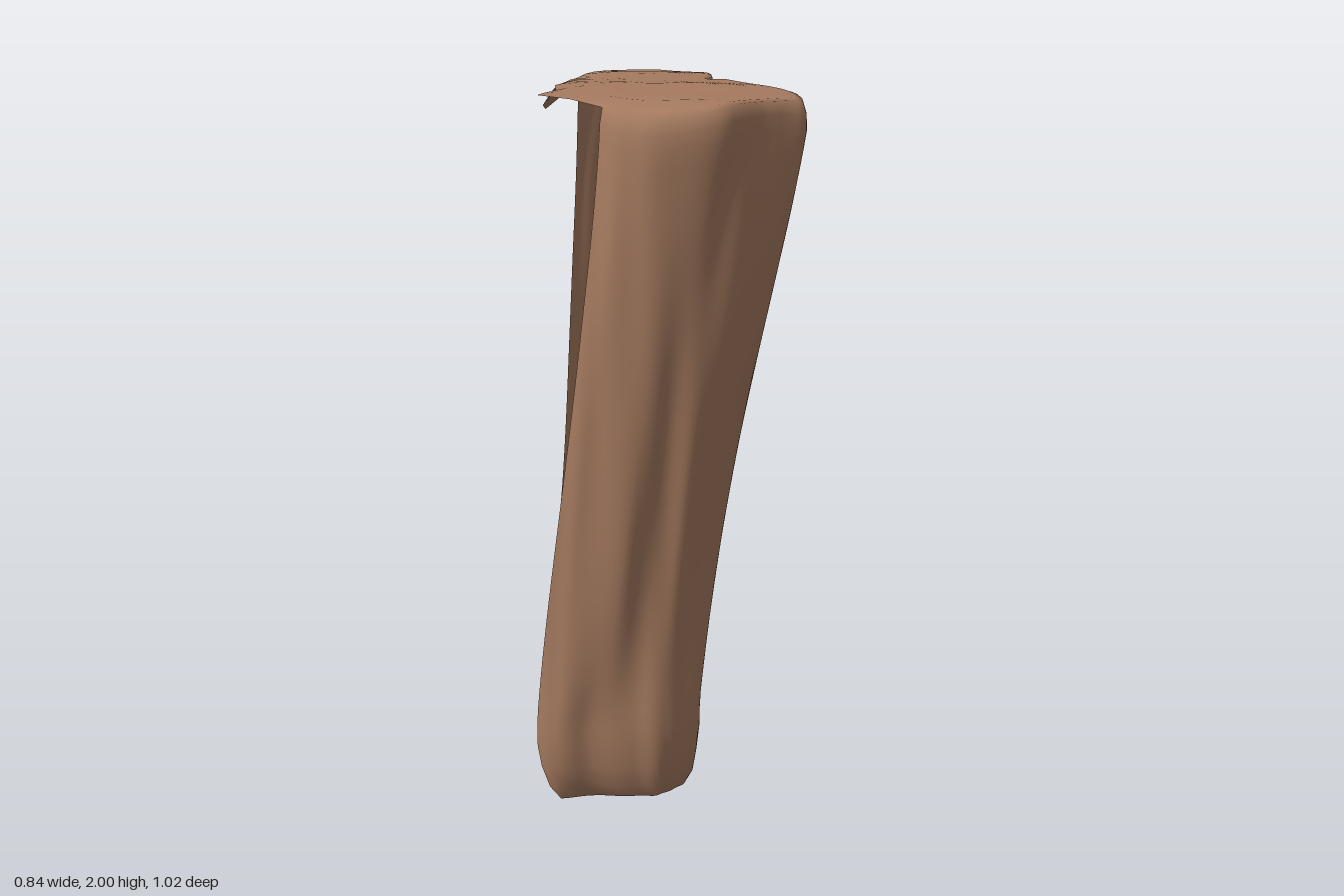
import * as THREE from 'three';
import { mergeGeometries, mergeVertices } from 'three/addons/utils/BufferGeometryUtils.js';

// Wall outline at four heights, as [x, z] from the front free edge,
// round the right lobe, the crevice and the back lobe to the other free edge
const LEVELS = [0.3, 1.0, 1.5, 1.9];
const LOW = [[-0.255, 0.49], [-0.19, 0.51], [-0.1, 0.475], [0.01, 0.45], [0.085, 0.42], [0.125, 0.37],
  [0.155, 0.3], [0.15, 0.22], [0.08, 0.17], [0, 0.12], [-0.055, 0.12], [-0.04, 0.04],
  [-0.045, -0.11], [-0.13, -0.25], [-0.24, -0.375], [-0.32, -0.335], [-0.385, -0.26], [-0.413, -0.2]];
const MID = [[-0.17, 0.495], [-0.1, 0.5], [0.02, 0.488], [0.085, 0.435], [0.16, 0.4], [0.21, 0.32],
  [0.245, 0.23], [0.24, 0.15], [0.16, 0.06], [0.07, 0], [0.02, -0.06], [0, -0.13],
  [-0.01, -0.2], [-0.05, -0.28], [-0.13, -0.38], [-0.21, -0.44], [-0.3, -0.385], [-0.37, -0.29]];
const UPPER = [[-0.11, 0.485], [-0.04, 0.5], [0.06, 0.495], [0.16, 0.445], [0.24, 0.39], [0.3, 0.31],
  [0.35, 0.2], [0.325, 0.11], [0.2, -0.02], [0.09, -0.11], [-0.01, -0.18], [0.02, -0.24],
  [0, -0.33], [-0.07, -0.42], [-0.17, -0.485], [-0.26, -0.435], [-0.32, -0.38], [-0.355, -0.33]];
const HIGH = [[-0.08, 0.46], [0, 0.495], [0.1, 0.5], [0.25, 0.42], [0.31, 0.32], [0.36, 0.23],
  [0.42, 0.16], [0.39, 0.06], [0.27, -0.07], [0.14, -0.2], [0.095, -0.18], [0.09, -0.26],
  [0.05, -0.38], [-0.03, -0.45], [-0.14, -0.51], [-0.24, -0.44], [-0.3, -0.385], [-0.335, -0.32]];
const OUTLINES = [LOW, MID, UPPER, HIGH];

// Ragged free edge of the top, from the back lobe to the front
const RAGGED = [[-0.42, -0.27], [-0.41, -0.2], [-0.35, -0.1], [-0.3, 0], [-0.265, 0.03], [-0.25, 0.1],
  [-0.27, 0.18], [-0.235, 0.3], [-0.28, 0.33], [-0.17, 0.4]];

const COLS = 136;
const { smoothstep, clamp, lerp } = THREE.MathUtils;

// Height of the top: a slight dome, drooping at the torn flange and the front
function topHeight(x, z) {
  const over = Math.max(0, -x - 0.24), front = Math.max(0, z - 0.34);
  return 1.995 - 0.06 * (x + 0.15) ** 2 - 0.06 * (z - 0.25) ** 2
    - 3.4 * over * over - 1.6 * front * front + 0.003 * Math.sin(z * 17 + x * 5);
}

// Smooth outline at height y, blended from the levels
function outlineAt(y) {
  const v = clamp(y, 0.26, 1.91);
  const weights = LEVELS.map((a, i) => LEVELS.reduce((w, b, k) => k === i ? w : w * (v - b) / (a - b), 1));
  return new THREE.CatmullRomCurve3(LOW.map((_, j) => {
    const p = new THREE.Vector3();
    OUTLINES.forEach((o, i) => p.add(new THREE.Vector3(o[j][0], 0, o[j][1]).multiplyScalar(weights[i])));
    return p;
  }));
}

// One row of wall points; the inset runs from the front lobe to the back lobe,
// trim rounds the lower front corner
function wallRow(y, insetFront, insetBack, trim, isTop) {
  const curve = outlineAt(y);
  const row = [];
  for (let j = 0; j <= COLS; j++) {
    const t = trim + (1 - trim) * j / COLS;
    const p = curve.getPoint(t), d = curve.getTangent(t);
    const grain = 0.004 * Math.sin(t * 75 + y * 2.5) * Math.sin(y * 4 + t * 21);
    const off = grain - lerp(insetFront, insetBack, smoothstep(t, 0.45, 0.7));
    p.x -= d.z * off;
    p.z += d.x * off;
    const h = topHeight(p.x, p.z);
    if (isTop) p.y = h - 0.004;
    else if (y < 0.05) p.y = y - 0.02 * smoothstep(-p.x, 0.15, 0.35);
    else p.y = y + smoothstep(y, 1.4, 1.9) * Math.min(0, h - 1.985);
    row.push(p);
  }
  return row;
}

// Skin between rows of equal length
function loft(rows) {
  const n = rows[0].length, index = [];
  for (let i = 0; i < rows.length - 1; i++) {
    for (let j = 0; j < n - 1; j++) {
      const a = i * n + j, b = a + 1, c = a + n, d = c + 1;
      index.push(a, b, d, a, d, c);
    }
  }
  return new THREE.BufferGeometry().setFromPoints(rows.flat()).setIndex(index);
}

export function createModel() {
  const group = new THREE.Group();
  group.name = 'barkTrunk';
  const bark = new THREE.MeshStandardMaterial({ color: 0xa67b60, side: THREE.DoubleSide });
  bark.name = 'brown';

  // Open, leaning wall with rounded rims
  const rows = [wallRow(0.02, 0.04, 0.014, 0.05), wallRow(0.06, 0.017, 0.004, 0.025),
    wallRow(0.12, 0.006, 0, 0.008)];
  for (let i = 0; i <= 32; i++) rows.push(wallRow(0.18 + 1.72 * i / 32, 0, 0, 0));
  rows.push(wallRow(1.945, 0.003, 0.003, 0));
  const rim = wallRow(1.975, 0.014, 0.014, 0, true);
  rows.push(rim);

  // Top: rings shrinking from the rim and the ragged edge to the middle
  const edge = [...rim];
  RAGGED.forEach(([x, z]) => edge.push(new THREE.Vector3(x, topHeight(x, z), z)));
  edge.push(rim[0].clone());
  const rings = [edge];
  for (const s of [0.95, 0.8, 0.6, 0.4, 0.2, 0]) {
    rings.push(edge.map(p => {
      const x = -0.05 + (p.x + 0.05) * s, z = p.z * s;
      return new THREE.Vector3(x, topHeight(x, z), z);
    }));
  }

  // Weld the top to the wall so the rim shades smoothly
  const shell = mergeVertices(mergeGeometries([loft(rows), loft(rings)]), 1e-5);
  shell.computeVertexNormals();
  const trunk = new THREE.Mesh(shell, bark);
  trunk.name = 'trunkShell';
  group.add(trunk);
  return group;
}
